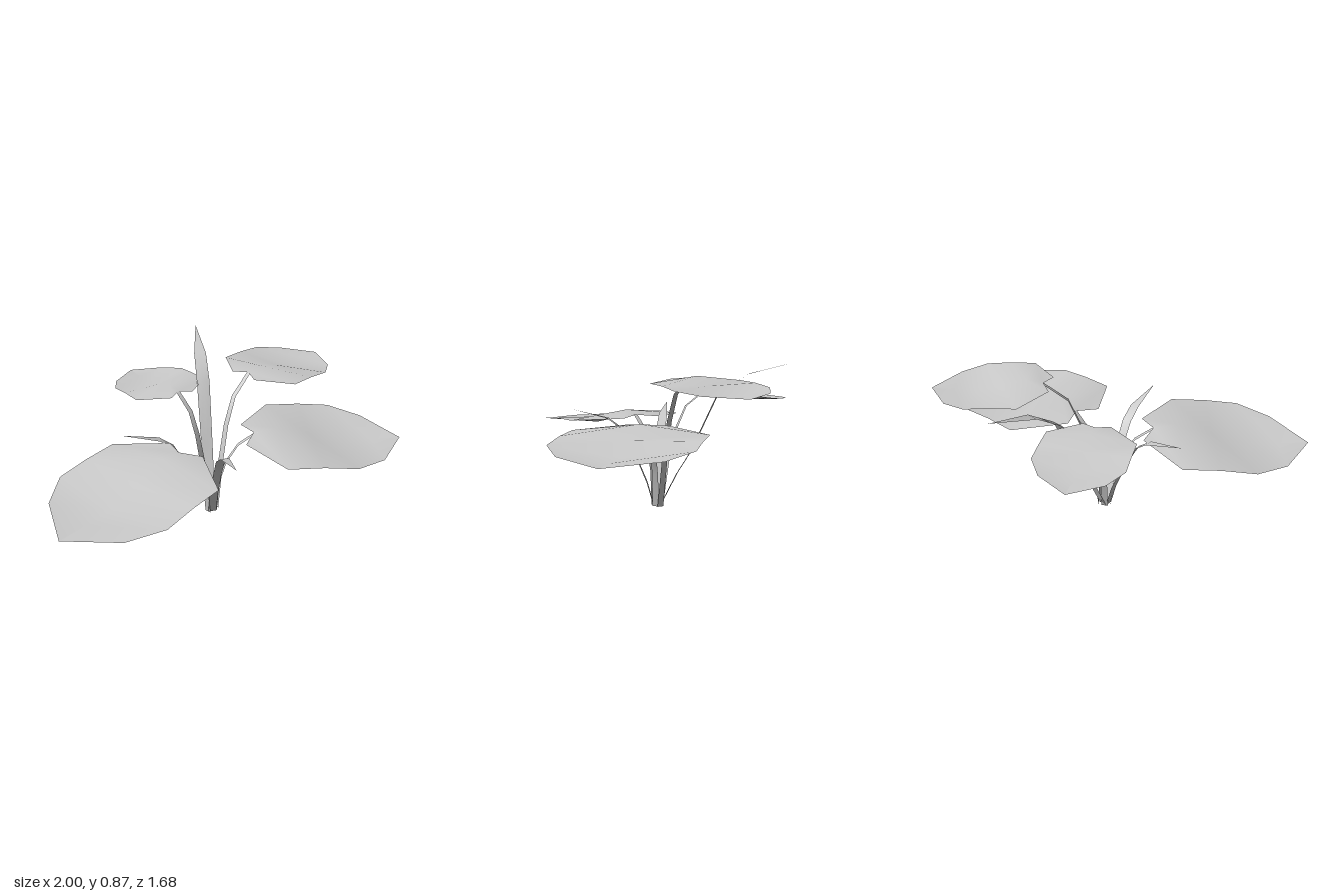
import * as THREE from 'three';

const material = new THREE.MeshStandardMaterial({ color: 0xcccccc, side: THREE.DoubleSide });

// Thin smooth sheet growing from (x, z) along a ground direction.
// Each row: [mid distance, mid height, edge distance, edge half width, edge height].
function sheet(name, rows, x, z, dirX, dirZ) {
  const len = Math.hypot(dirX, dirZ);
  const dx = dirX / len, dz = dirZ / len;
  const positions = [], index = [];
  rows.forEach(([midU, midY, edgeU, half, edgeY], i) => {
    for (const side of [-1, 0, 1]) {
      const u = side ? edgeU : midU;
      const v = side * half;
      positions.push(x + dx * u + dz * v, side ? edgeY : midY, z + dz * u - dx * v);
    }
    if (i === 0) return;
    for (let j = 0; j < 2; j++) {
      const a = (i - 1) * 3 + j, b = i * 3 + j;
      index.push(a, b, a + 1, a + 1, b, b + 1);
    }
  });
  const geometry = new THREE.BufferGeometry();
  geometry.setAttribute('position', new THREE.Float32BufferAttribute(positions, 3));
  geometry.setIndex(index);
  geometry.computeVertexNormals();
  const mesh = new THREE.Mesh(geometry, material);
  mesh.name = name;
  return mesh;
}

// Flat ribbon; each path point: [distance, height, half width]
const ribbon = (name, path, x, z, dx, dz) =>
  sheet(name, path.map(([u, y, w]) => [u, y, u, w, y]), x, z, dx, dz);

// Round leaf: ridge near the stem, shallow channel toward the tip.
// Heights are relative to the ridge.
const LEAF = [
  [0, -0.02, -0.06, 0.12, -0.03],
  [0.13, 0, 0.13, 0.385, -0.045],
  [0.33, -0.06, 0.33, 0.385, -0.05],
  [0.52, -0.12, 0.52, 0.385, -0.07],
  [0.70, -0.115, 0.70, 0.27, -0.095],
  [0.87, -0.11, 0.87, 0, -0.11],
];

const LOW_STEM = [[0.03, 0], [0.05, 0.2], [0.09, 0.33], [0.16, 0.44], [0.27, 0.518]];
const SHORT_BLADE = [
  [0.02, 0, 0.025], [0.06, 0.14, 0.025], [0.14, 0.33, 0.025],
  [0.21, 0.46, 0.027], [0.29, 0.52, 0.025], [0.5, 0.57, 0],
];
const TALL_BLADE = [
  [0.02, 0, 0.025], [0.12, 0.2, 0.03], [0.2, 0.33, 0.034],
  [0.36, 0.68, 0.038], [0.53, 0.79, 0.036], [0.81, 0.865, 0],
];

// Common root of the plant
const ROOT = [-0.12, -0.04];

export function createModel() {
  const plant = new THREE.Group();
  plant.name = 'plant';

  // Round leaves on ribbon stems
  const leaves = [
    { name: 'frontRight', at: [-0.31, 0.14], dir: [-1, 1], size: 1, ridge: 0.535, stem: LOW_STEM },
    { name: 'left', at: [0.13, -0.035], dir: [1, 0], size: 1, ridge: 0.535, stem: LOW_STEM },
    { name: 'backLeft', at: [0.13, -0.275], dir: [0.775, -0.632], size: 0.72, ridge: 0.797,
      stem: [[0.04, 0], [0.09, 0.3], [0.14, 0.52], [0.21, 0.68], [0.35, 0.782]] },
    { name: 'backRight', at: [-0.28, -0.285], dir: [-0.51, -0.86], size: 0.62, ridge: 0.69,
      stem: [[0.03, 0], [0.07, 0.27], [0.12, 0.46], [0.18, 0.59], [0.3, 0.677]] },
  ];
  for (const { name, at, dir, size, ridge, stem } of leaves) {
    const rows = LEAF.map(([mu, my, eu, w, ey]) =>
      [mu * size, ridge + my * size, eu * size, w * size, ridge + ey * size]);
    plant.add(sheet(name + 'Leaf', rows, ...at, ...dir));
    const path = stem.map(([u, y], i) => [u, y, 0.02 - i * 0.002]);
    plant.add(ribbon(name + 'Stem', path, ...ROOT, at[0] - ROOT[0], at[1] - ROOT[1]));
  }

  // Narrow pointed blades
  plant.add(ribbon('backBlade', TALL_BLADE, ...ROOT, -0.01, -0.8));
  plant.add(ribbon('frontBlade', SHORT_BLADE, ...ROOT, 0.09, 0.5));
  plant.add(ribbon('rightBlade', SHORT_BLADE, ...ROOT, -0.5, 0.055));

  return plant;
}
